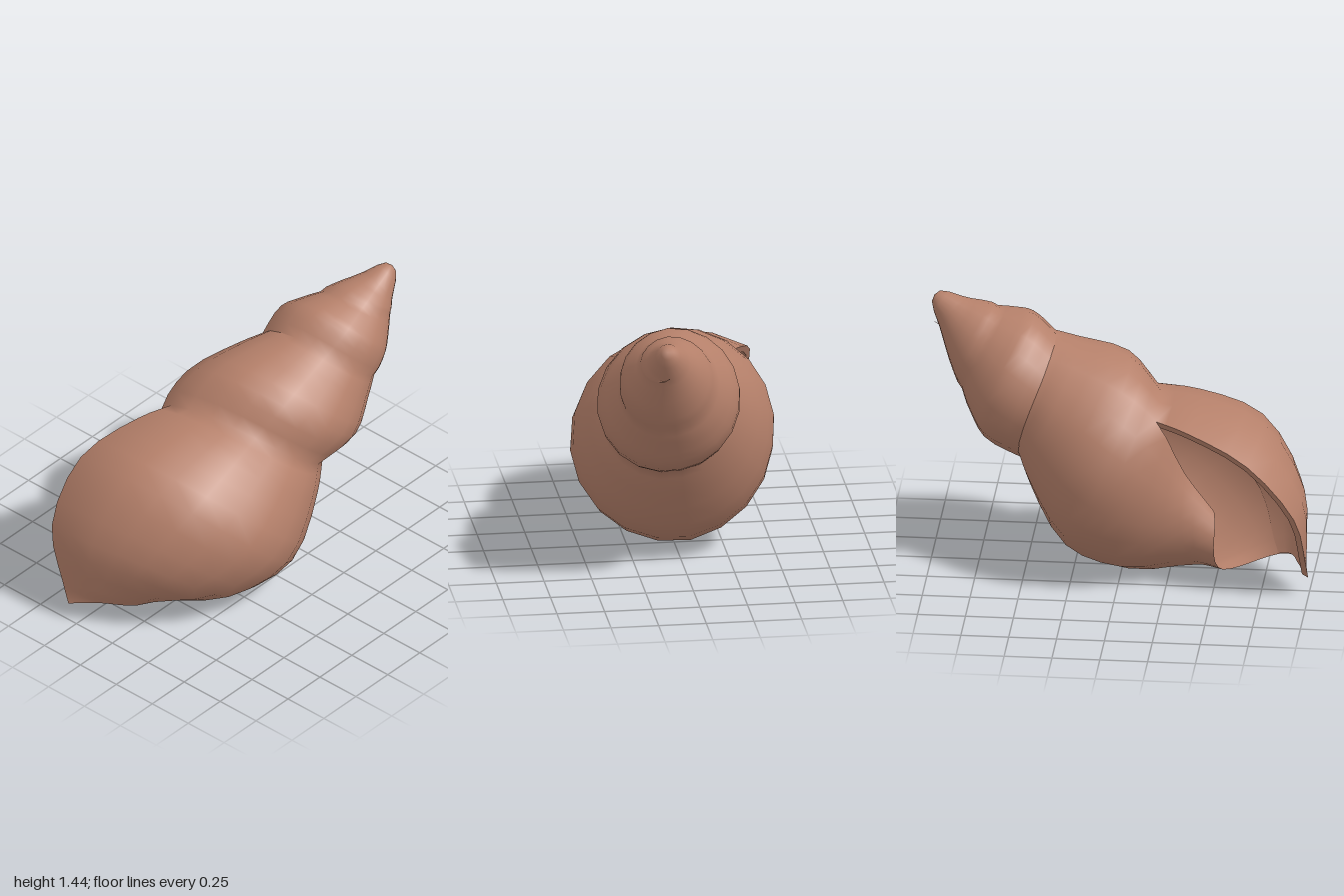
import * as THREE from 'three';
import { mergeGeometries, mergeVertices } from 'three/addons/utils/BufferGeometryUtils.js';

// Spire sections: [half turns, then (distance down the axis, radius) of suture, shoulder, widest]
const SPIRE = [
  [-6, 0.12, 0.10, 0.12, 0.10, 0.12, 0.10],
  [-5, 0.12, 0.10, 0.17, 0.13, 0.22, 0.165],
  [-4, 0.12, 0.10, 0.21, 0.155, 0.30, 0.205],
  [-3, 0.31, 0.21, 0.39, 0.275, 0.47, 0.325],
  [-2, 0.42, 0.25, 0.52, 0.305, 0.67, 0.37],
  [-1, 0.62, 0.31, 0.74, 0.36, 1.00, 0.465],
];
// Last turn sections: the same, followed by belly, base and tail
const BODY = [
  [-0.8, 0.67, 0.315, 0.79, 0.375, 1.07, 0.48, 1.30, 0.46, 1.58, 0.23, 1.82, 0.11],
  [-0.4, 0.78, 0.32, 0.90, 0.39, 1.21, 0.505, 1.47, 0.435, 1.75, 0.21, 1.93, 0.14],
  [0, 0.89, 0.335, 1.01, 0.42, 1.36, 0.57, 1.66, 0.48, 1.93, 0.22, 2.04, 0.165],
  [1, 1.22, 0.42, 1.42, 0.535, 1.75, 0.625, 2.12, 0.47, 2.30, 0.22, 2.34, 0.13],
  [1.2, 1.30, 0.46, 1.46, 0.55, 1.81, 0.65, 2.17, 0.52, 2.35, 0.26, 2.41, 0.16],
];
const START = -6, LIP = 1.2, STEP = 0.1;
const TILT = 0.16;

// Each spire section ends on the suture one turn later, so the coils join
const SECTIONS = [...SPIRE, ...BODY].map((row, i, all) => {
  if (i >= SPIRE.length) return row;
  const [, t, r] = all.find((other) => other[0] === row[0] + 2);
  return [...row, t, r, t + 0.2, r - 0.05, t + 0.4, r - 0.1];
});

// Point at distance t down the tilted axis, radius r, h half turns round it
function place(t, r, h) {
  const side = Math.sin(Math.PI * h) * r;
  const up = -Math.cos(Math.PI * h) * r - Math.min(0.07, 0.15 * t);
  const along = t + TILT * side;
  return [0.17 - TILT * along + side, 1.4 - 0.57 * along + 0.82 * up, -1 + 0.82 * along + 0.57 * up];
}

// Smooth whorl section at h, blended between neighbouring knots
function section(h) {
  let i = 0;
  while (i < SECTIONS.length - 2 && h > SECTIONS[i + 1][0]) i++;
  const a = SECTIONS[i], b = SECTIONS[i + 1];
  const f = (h - a[0]) / (b[0] - a[0]);
  const points = [];
  for (let k = 1; k < a.length; k += 2) {
    points.push(new THREE.Vector3(
      THREE.MathUtils.lerp(a[k], b[k], f),
      THREE.MathUtils.lerp(a[k + 1], b[k + 1], f), 0));
  }
  return new THREE.CatmullRomCurve3(points);
}

// Surface from equally long rows of points; width(i) limits the columns used in row i
function loft(rows, width = () => rows[0].length - 1) {
  const n = rows[0].length, index = [];
  for (let i = 0; i < rows.length - 1; i++) {
    for (let j = 0; j < width(i); j++) {
      const a = i * n + j, b = a + n;
      index.push(a, a + 1, b, b, a + 1, b + 1);
    }
  }
  const geometry = new THREE.BufferGeometry();
  geometry.setAttribute('position', new THREE.Float32BufferAttribute(rows.flat(2), 3));
  geometry.setIndex(index);
  return geometry;
}

// One row across the whorl (three steps per knot), optionally shrunk for the lining
function whorlRow(h, shrink = 0) {
  return section(h).getPoints(15).map((p) =>
    place(p.x + (1.8 - p.x) * shrink, p.y * (1 - shrink), h));
}

export function createModel() {
  const group = new THREE.Group();
  const shellBrown = new THREE.MeshStandardMaterial({ color: 0xb5806a, side: THREE.DoubleSide });
  shellBrown.name = 'shellBrown';
  const add = (name, geometry) => {
    geometry.computeVertexNormals();
    const mesh = new THREE.Mesh(geometry, shellBrown);
    mesh.name = name;
    group.add(mesh);
  };

  // Coiled wall: spire rows stop at the next suture, the last turn runs on to the base
  const whorls = [];
  const steps = Math.round((LIP - START) / STEP);
  const lastTurn = steps - Math.round(2 / STEP);
  for (let i = 0; i <= steps; i++) whorls.push(whorlRow(START + STEP * i));

  // Rounded tip closing the first turn
  const tip = [[0, 0], [0.01, 0.035], [0.05, 0.065], [0.12, 0.1]];
  const apex = [];
  for (let i = 0; i <= 20; i++) apex.push(tip.map(([t, r]) => place(t, r, START + STEP * i)));

  // Weld the tip and the coils into one smooth skin
  const skin = mergeGeometries([loft(whorls, (i) => (i < lastTurn ? 9 : 15)), loft(apex)]);
  add('whorls', mergeVertices(skin, 1e-4));

  // Lip edge turning inwards, then the lining inside the opening
  add('lipRim', loft([whorlRow(LIP), whorlRow(LIP, 0.06)]));
  const lining = [];
  for (let i = 0; i <= 6; i++) lining.push(whorlRow(LIP - STEP * i, 0.06 * (1 - i / 8)));
  add('innerLining', loft(lining));

  return group;
}
